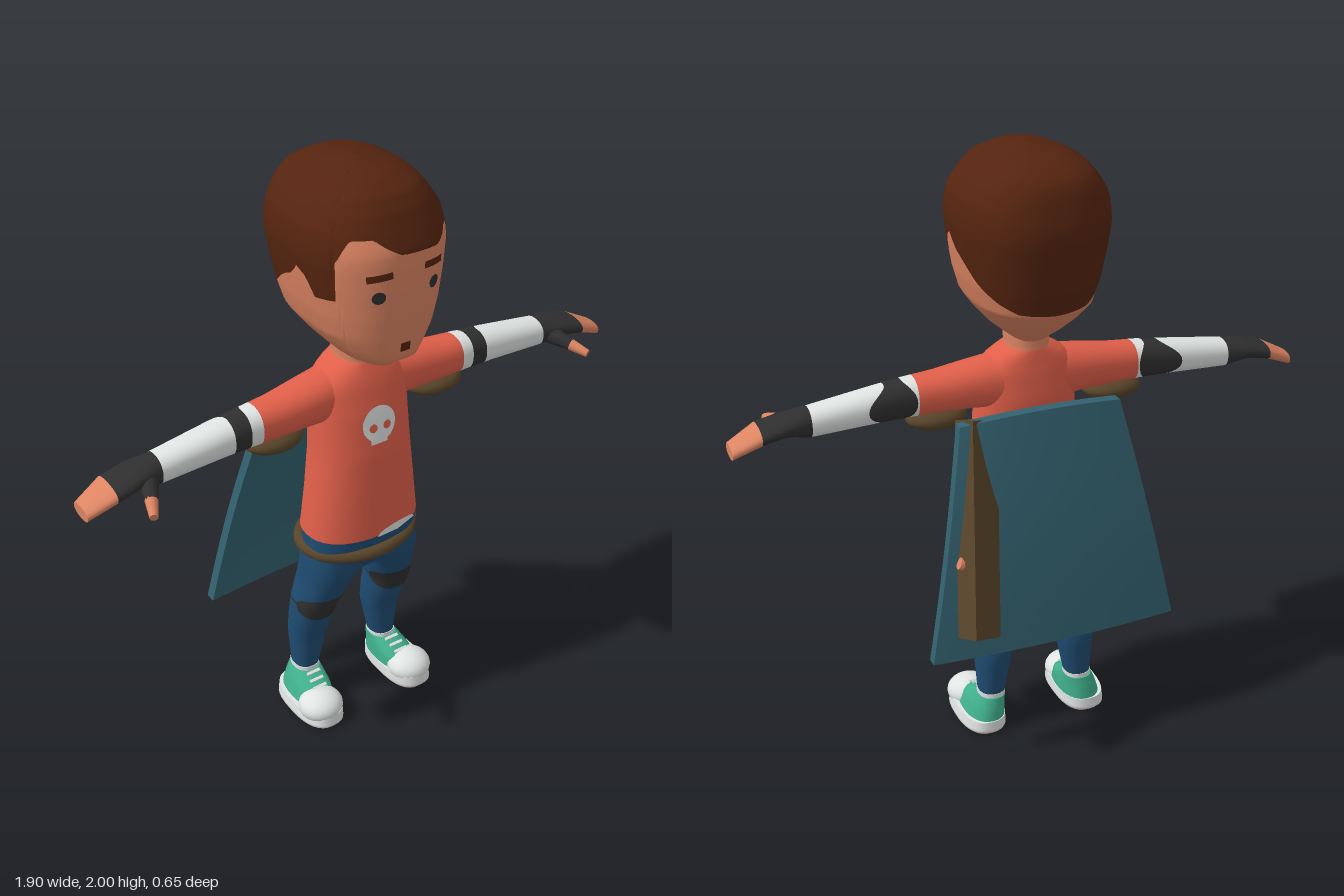
import * as THREE from 'three';

const paint = (name, hex) => {
  const m = new THREE.MeshStandardMaterial({ color: hex });
  m.name = name;
  return m;
};

// Linear lookup in rows of [key, ...values]
function lookup(rows, k) {
  let i = 1;
  while (i < rows.length - 1 && rows[i][0] < k) i++;
  const a = rows[i - 1], b = rows[i];
  const t = THREE.MathUtils.clamp((k - a[0]) / (b[0] - a[0]), 0, 1);
  return a.slice(1).map((v, j) => v + (b[j + 1] - v) * t);
}

// Body surface with rows [station, centre, half width, z front, z back] along axis y or x
function body(rows, axis = 'y', n = 2.3, grow = 0) {
  const pow = v => Math.sign(v) * Math.abs(v) ** (2 / n);
  const at = (s, th) => {
    const [c, h, zf, zb] = lookup(rows, s);
    const a = c + (h + grow) * pow(Math.cos(th));
    const z = (zf + zb) / 2 + ((zf - zb) / 2 + grow) * pow(Math.sin(th));
    return axis === 'y' ? [a, s, z] : [s, a, z];
  };
  const frontZ = (x, y) => {
    const [c, h, zf, zb] = lookup(rows, y);
    const k = Math.min(1, Math.abs((x - c) / h));
    return (zf + zb) / 2 + (zf - zb) / 2 * (1 - k ** n) ** (1 / n);
  };
  return { at, frontZ, axis };
}

// Skin of a body between two stations; each may vary with the angle
function skinOf(b, lo, hi, { nu = 32, nv = 12, capLo, capHi } = {}) {
  const f = v => (typeof v === 'function' ? v : () => v);
  const L = f(lo), H = f(hi), pos = [], idx = [];
  const tri = (a, c, d) => (b.axis === 'y' ? idx.push(a, c, d) : idx.push(a, d, c));
  for (let j = 0; j <= nv; j++) for (let i = 0; i < nu; i++) {
    const th = (i / nu) * Math.PI * 2;
    pos.push(...b.at(L(th) + (H(th) - L(th)) * j / nv, th));
  }
  for (let j = 0; j < nv; j++) for (let i = 0; i < nu; i++) {
    const p = j * nu + i, q = j * nu + (i + 1) % nu;
    tri(p, p + nu, q);
    tri(q, p + nu, q + nu);
  }
  const cap = (row, up) => {
    const start = pos.length / 3, mid = [0, 0, 0];
    for (let i = 0; i < nu; i++) for (let k = 0; k < 3; k++) {
      const v = pos[(row * nu + i) * 3 + k];
      pos.push(v);
      mid[k] += v / nu;
    }
    pos.push(...mid);
    for (let i = 0; i < nu; i++) {
      const p = start + i, q = start + (i + 1) % nu;
      up ? tri(p, start + nu, q) : tri(p, q, start + nu);
    }
  };
  if (capLo) cap(0, false);
  if (capHi) cap(nv, true);
  const g = new THREE.BufferGeometry();
  g.setAttribute('position', new THREE.Float32BufferAttribute(pos, 3));
  g.setIndex(idx);
  g.computeVertexNormals();
  return g;
}

// Lay a flat shape on the front of a body
function decal(geo, b, x, y, off = 0.005) {
  geo.translate(x, y, 0);
  const p = geo.attributes.position;
  for (let i = 0; i < p.count; i++) p.setZ(i, b.frontZ(p.getX(i), p.getY(i)) + off);
  geo.computeVertexNormals();
  return geo;
}

// Turn an upright geometry of unit height so it spans two points
function span(geo, a, b, twist = 0) {
  const A = new THREE.Vector3(...a), B = new THREE.Vector3(...b), d = B.clone().sub(A);
  geo.rotateY(twist).scale(1, d.length(), 1);
  geo.applyQuaternion(new THREE.Quaternion().setFromUnitVectors(new THREE.Vector3(0, 1, 0), d.normalize()));
  const m = A.add(B).multiplyScalar(0.5);
  return geo.translate(m.x, m.y, m.z);
}

function mirrored(geo) {
  const g = geo.clone().scale(-1, 1, 1);
  const src = g.index ? Array.from(g.index.array) : Array.from({ length: g.attributes.position.count }, (_, i) => i);
  for (let i = 0; i < src.length; i += 3) [src[i], src[i + 1]] = [src[i + 1], src[i]];
  g.setIndex(src);
  return g;
}

export function createModel() {
  const group = new THREE.Group();
  const skin = paint('skin', 0xdb8462), hair = paint('hair brown', 0x55240f), red = paint('shirt red', 0xe05f49);
  const white = paint('off white', 0xe0e4e3), dark = paint('charcoal', 0x2f2f2f), blue = paint('denim blue', 0x1f4c72);
  const slate = paint('cape blue', 0x33616f), brown = paint('leather brown', 0x5a452a), mint = paint('shoe green', 0x40b08d);
  const add = (geo, mat, name) => {
    const m = new THREE.Mesh(geo, mat);
    m.name = name;
    group.add(m);
  };
  const pair = (geo, mat, name) => {
    add(geo, mat, name + 'Left');
    add(mirrored(geo), mat, name + 'Right');
  };

  // Head, split into face and hair along the hairline (degrees from the front, height)
  const head = body([[1.38, 0, 0.045, 0.12, -0.02], [1.4, 0, 0.065, 0.17, -0.045], [1.44, 0, 0.115, 0.295, -0.1],
    [1.48, 0, 0.15, 0.302, -0.145], [1.53, 0, 0.186, 0.308, -0.19], [1.6, 0, 0.207, 0.314, -0.207], [1.69, 0, 0.224, 0.317, -0.222],
    [1.77, 0, 0.235, 0.316, -0.232], [1.81, 0, 0.234, 0.312, -0.23], [1.86, 0, 0.226, 0.29, -0.218], [1.91, 0, 0.195, 0.266, -0.205],
    [1.95, 0, 0.16, 0.235, -0.177], [1.983, 0, 0.09, 0.17, -0.1], [2, 0, 0.002, 0.045, 0.035]], 'y', 2.5);
  const nape = [[90, 1.69], [110, 1.617], [130, 1.57], [150, 1.54], [180, 1.53]];
  const hairRows = [...nape.map(([a, y]) => [-a, y]).reverse(), [-84, 1.735], [-76, 1.71], [-73, 1.655], [-54, 1.665], [-51, 1.79],
    [-44, 1.83], [-38, 1.855], [-20, 1.855], [-14, 1.835], [-2, 1.8], [25, 1.79], [40, 1.825], [50, 1.82], [53, 1.665],
    [73, 1.655], [76, 1.71], [84, 1.735], ...nape];
  const hairline = th => {
    let a = 90 - THREE.MathUtils.radToDeg(th);
    if (a < -180) a += 360;
    return lookup(hairRows, a)[0];
  };
  add(skinOf(head, 1.38, hairline, { nu: 120, nv: 24, capLo: true }), skin, 'face');
  add(skinOf(head, hairline, 2, { nu: 120, nv: 24 }), hair, 'hair');
  for (const s of [-1, 1]) {
    add(decal(new THREE.CircleGeometry(0.02, 12), head, s * 0.095, 1.685), dark, 'eye');
    add(decal(new THREE.PlaneGeometry(0.075, 0.022, 4, 1).rotateZ(-s * 0.08), head, s * 0.092, 1.748), hair, 'eyebrow');
  }
  add(decal(new THREE.PlaneGeometry(0.034, 0.03, 2, 1), head, 0, 1.5), hair, 'mouth');
  add(skinOf(body([[1.31, 0, 0.08, 0.14, -0.04], [1.36, 0, 0.067, 0.127, -0.032], [1.42, 0, 0.07, 0.13, -0.03]]), 1.31, 1.42), skin, 'neck');

  // Shirt with patch and the hem of an undershirt
  const torso = body([[0.755, 0, 0.2, 0.21, -0.062], [0.9, 0, 0.183, 0.206, -0.055], [1.05, 0, 0.168, 0.198, -0.052], [1.2, 0, 0.163, 0.178, -0.055],
    [1.29, 0, 0.16, 0.155, -0.045], [1.325, 0, 0.13, 0.142, -0.038], [1.345, 0, 0.1, 0.132, -0.036], [1.36, 0, 0.068, 0.126, -0.032]]);
  add(skinOf(torso, 0.755, 1.36, { nu: 40, nv: 32, capLo: true, capHi: true }), red, 'shirt');
  add(decal(new THREE.CircleGeometry(0.06, 20), torso, 0, 1.165), white, 'chestPatch');
  add(decal(new THREE.PlaneGeometry(0.06, 0.035, 3, 1), torso, -0.005, 1.118, 0.0045), white, 'chestPatchBase');
  for (const x of [-0.026, 0.024]) add(decal(new THREE.CircleGeometry(0.015, 8), torso, x, 1.158, 0.009), red, 'patchSpot');
  add(decal(new THREE.CircleGeometry(0.08, 16, 0, Math.PI).scale(1, 0.36, 1), torso, 0.06, 0.755), white, 'undershirtHem');

  // Arms: sleeve, undersleeve, elbow band wider at the back, glove, fingers
  const arm = body([[0.06, 1.25, 0.09, 0.13, -0.035], [0.2, 1.244, 0.074, 0.13, -0.02], [0.3, 1.236, 0.066, 0.125, -0.008], [0.4, 1.232, 0.062, 0.12, 0],
    [0.5, 1.225, 0.056, 0.118, 0], [0.71, 1.205, 0.046, 0.112, 0.01], [0.78, 1.208, 0.03, 0.125, 0], [0.86, 1.19, 0.027, 0.13, 0],
    [0.95, 1.148, 0.021, 0.11, 0.02]], 'x', 2.3);
  const back = th => Math.max(0, -Math.sin(th)) ** 2;
  const bandIn = th => 0.41 - 0.035 * back(th), bandOut = th => 0.465 + 0.065 * back(th);
  pair(skinOf(arm, 0.06, 0.37), red, 'shirtSleeve');
  pair(skinOf(arm, 0.37, bandIn, { nv: 3 }), white, 'upperSleeve');
  pair(skinOf(arm, bandIn, bandOut, { nv: 4 }), dark, 'elbowBand');
  pair(skinOf(arm, bandOut, 0.705), white, 'lowerSleeve');
  pair(skinOf(arm, 0.705, 0.86, { nv: 8 }), dark, 'glove');
  pair(skinOf(arm, 0.86, 0.95, { nv: 6, capHi: true }), skin, 'fingers');
  pair(span(new THREE.CylinderGeometry(0.02, 0.032, 1, 10), [0.745, 1.195, 0.09], [0.775, 1.18, 0.17]), dark, 'thumbGlove');
  pair(span(new THREE.CylinderGeometry(0.013, 0.02, 1, 10), [0.775, 1.18, 0.165], [0.8, 1.165, 0.225]), skin, 'thumb');
  pair(new THREE.SphereGeometry(1, 20, 12).scale(0.1, 0.04, 0.07).translate(0.3, 1.155, 0.055), brown, 'underarmPad');

  // Trousers with knee patches, and belt
  add(skinOf(body([[0.6, 0, 0.15, 0.15, -0.015], [0.66, 0, 0.2, 0.19, -0.04], [0.77, 0, 0.196, 0.203, -0.055]]), 0.6, 0.77, { capLo: true }), blue, 'hips');
  const legRows = [[0.13, 0.158, 0.042, 0.03, -0.065], [0.28, 0.148, 0.062, 0.05, -0.08], [0.36, 0.147, 0.067, 0.08, -0.07],
    [0.44, 0.147, 0.068, 0.108, -0.055], [0.55, 0.125, 0.078, 0.155, -0.04], [0.62, 0.105, 0.098, 0.18, -0.03], [0.68, 0.1, 0.1, 0.188, -0.035]];
  pair(skinOf(body(legRows), 0.13, 0.68, { nv: 24 }), blue, 'leg');
  const knee = th => 0.003 + 0.05 * Math.sqrt(Math.max(0, Math.sin(th)));
  pair(skinOf(body(legRows, 'y', 2.3, 0.004), th => 0.45 - knee(th), th => 0.45 + knee(th), { nv: 6 }), dark, 'kneePatch');
  const beltPath = new THREE.CatmullRomCurve3(Array.from({ length: 16 }, (_, i) => {
    const a = (i / 16) * Math.PI * 2;
    return new THREE.Vector3(0.193 * Math.cos(a), 0.69, 0.055 + 0.145 * Math.sin(a));
  }), true);
  add(new THREE.TubeGeometry(beltPath, 48, 0.022, 10, true), brown, 'belt');

  // Shoes
  const sole = body([[0, 0.18, 0.07, 0.19, -0.08], [0.012, 0.182, 0.08, 0.2, -0.09], [0.05, 0.18, 0.076, 0.195, -0.088]], 'y', 2.6);
  pair(skinOf(sole, 0, 0.004, { nv: 1, capLo: true }), skin, 'shoeUnderside');
  pair(skinOf(sole, 0.004, 0.05, { nv: 6, capHi: true }), white, 'shoeSole');
  pair(new THREE.SphereGeometry(1, 20, 14).scale(0.077, 0.053, 0.075).translate(0.184, 0.055, 0.122), white, 'toeCap');
  pair(skinOf(body([[0.045, 0.175, 0.069, 0.15, -0.085], [0.09, 0.168, 0.06, 0.12, -0.08], [0.13, 0.159, 0.047, 0.04, -0.072]]), 0.045, 0.13,
    { capHi: true }), mint, 'shoeUpper');
  for (let i = 0; i < 3; i++) {
    pair(new THREE.BoxGeometry(0.05, 0.008, 0.01).rotateX(0.45).translate(0.163 + i * 0.003, 0.129 - i * 0.013, 0.046 + i * 0.024), white, 'lace');
  }
  pair(skinOf(body([[0.12, 0.158, 0.045, 0.035, -0.068], [0.145, 0.158, 0.045, 0.034, -0.068]]), 0.12, 0.145, { nv: 2, capHi: true }), white, 'sock');

  // Cape: a slab that widens downward with its sides curving forward
  const cape = new THREE.BoxGeometry(1, 1, 1, 12, 12, 1);
  const cp = cape.attributes.position;
  for (let i = 0; i < cp.count; i++) {
    const x = cp.getX(i) * 2, t = cp.getY(i) + 0.5, z = cp.getZ(i);
    cp.setXYZ(i, x * (0.42 - 0.15 * t), 0.415 + 0.75 * t + 0.02 * t * (1 - x * x),
      -0.207 + 0.125 * t - 0.018 * Math.sin(Math.PI * t) + 0.02 * x * x + z * 0.036);
  }
  cape.computeVertexNormals();
  add(cape, slate, 'cape');

  // Two slanted batons with side pegs, one passing through the cape
  add(span(new THREE.BoxGeometry(0.085, 1, 0.1), [0.2, 1.16, -0.035], [0.29, 0.53, -0.275], 0.5), brown, 'rearBaton');
  add(span(new THREE.CylinderGeometry(0.02, 0.02, 1, 8), [0.26, 0.73, -0.19], [0.32, 0.755, -0.185]), skin, 'rearBatonPeg');
  add(span(new THREE.BoxGeometry(0.08, 1, 0.08), [0.13, 0.95, 0.06], [0.15, 0.45, -0.15]), brown, 'frontBaton');
  add(span(new THREE.CylinderGeometry(0.024, 0.024, 1, 8), [-0.015, 0.575, -0.1], [0.235, 0.69, -0.1]), skin, 'frontBatonPeg');
  return group;
}
